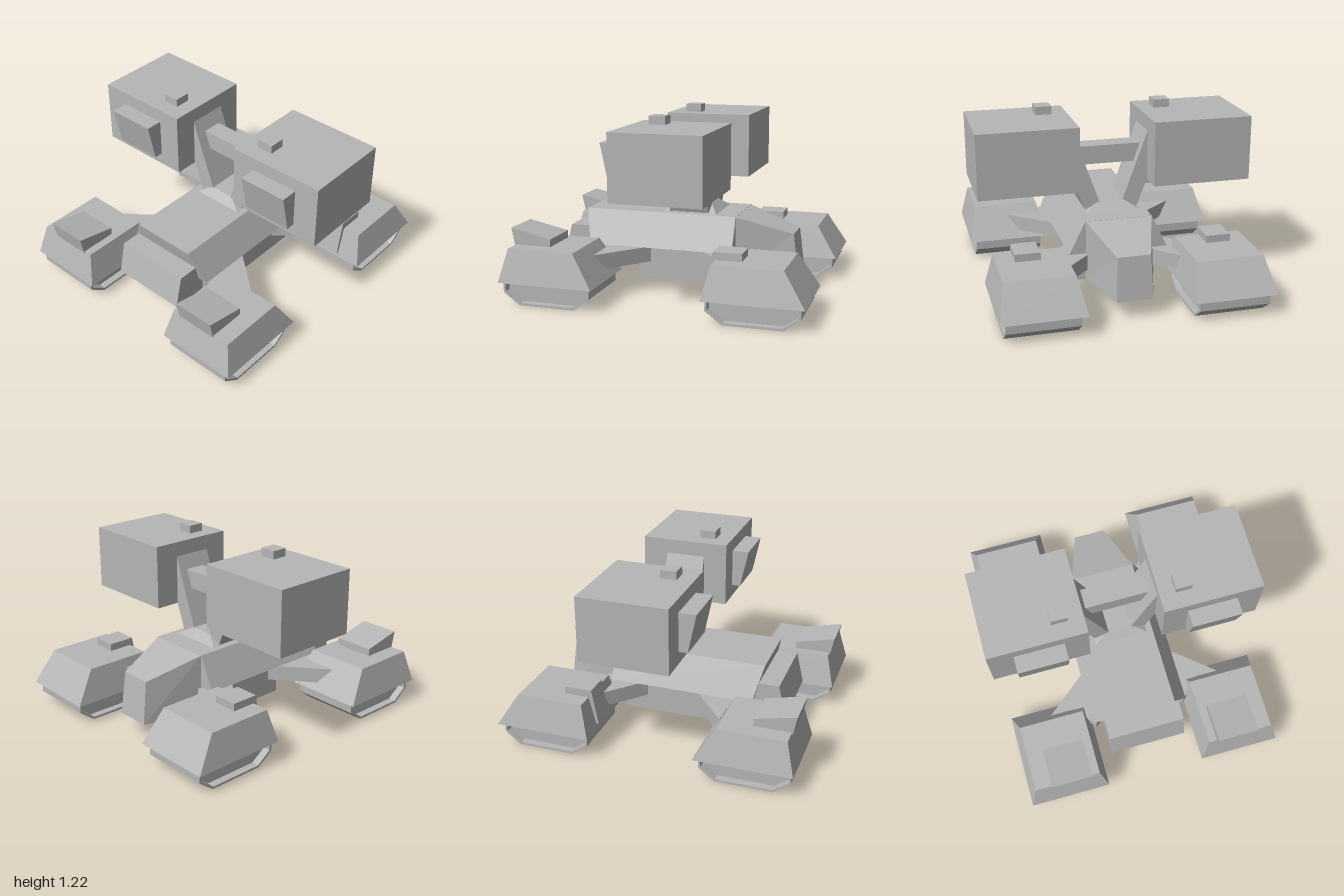
import * as THREE from 'three';

const hull = new THREE.MeshStandardMaterial({ color: 0xb6b6b6 });
hull.name = 'hullGrey';

function add(parent, name, geometry) {
  const flat = geometry.index ? geometry.toNonIndexed() : geometry;
  flat.computeVertexNormals();
  const mesh = new THREE.Mesh(flat, hull);
  mesh.name = name;
  parent.add(mesh);
  return mesh;
}

// Axis-aligned block between two corners
function block(x0, x1, y0, y1, z0, z1) {
  return new THREE.BoxGeometry(x1 - x0, y1 - y0, z1 - z0)
    .translate((x0 + x1) / 2, (y0 + y1) / 2, (z0 + z1) / 2);
}

// Block whose bottom and top are different rectangles [x0, x1, z0, z1]
function frustum(y0, bottom, y1, top) {
  const g = new THREE.BoxGeometry(1, 1, 1);
  const p = g.attributes.position;
  for (let i = 0; i < p.count; i++) {
    const r = p.getY(i) > 0 ? top : bottom;
    p.setXYZ(i, p.getX(i) > 0 ? r[1] : r[0], p.getY(i) > 0 ? y1 : y0, p.getZ(i) > 0 ? r[3] : r[2]);
  }
  return g;
}

const shapeOf = pts => new THREE.Shape(pts.map(([a, b]) => new THREE.Vector2(a, b)));

// Side profile of [z, y] points, swept across x
function sideSweep(pts, x0, x1, hole) {
  const s = shapeOf(pts);
  if (hole) s.holes.push(shapeOf(hole));
  return new THREE.ExtrudeGeometry(s, { depth: x1 - x0, bevelEnabled: false })
    .rotateY(-Math.PI / 2).translate(x1, 0, 0);
}

// Plan outline of [x, z] points, swept down in y
function planSweep(pts, y0, y1) {
  return new THREE.ExtrudeGeometry(shapeOf(pts), { depth: y1 - y0, bevelEnabled: false })
    .rotateX(Math.PI / 2).translate(0, y1, 0);
}

// Track pod: sloped hood above a chamfered track with recessed sides
function trackPod(parent, name, dz) {
  const pod = new THREE.Group();
  pod.name = name;
  pod.position.z = dz;
  parent.add(pod);
  add(pod, 'trackHood', frustum(0.15, [0.34, 0.89, 0.355, 1.0], 0.37, [0.39, 0.84, 0.495, 0.945]));
  const outer = [[0.385, 0.15], [0.385, 0.08], [0.49, 0], [0.87, 0], [0.98, 0.08], [0.98, 0.15]];
  const inner = [[0.4, 0.149], [0.4, 0.087], [0.495, 0.015], [0.865, 0.015], [0.965, 0.087], [0.965, 0.149]];
  add(pod, 'trackBelt', sideSweep(outer, 0.38, 0.85, inner));
  add(pod, 'trackCore', sideSweep(inner, 0.43, 0.8));
}

export function createModel() {
  const model = new THREE.Group();
  model.name = 'walkerTank';

  // Central hull
  add(model, 'upperHull', frustum(0.31, [-0.335, 0.335, -0.41, 0.585], 0.535, [-0.225, 0.225, -0.41, 0.64]));
  add(model, 'lowerHull', block(-0.27, 0.27, 0.09, 0.315, -0.33, 0.25));
  add(model, 'nose', sideSweep(
    [[0.42, 0.15], [0.76, 0.15], [0.8, 0.205], [0.75, 0.42], [0.42, 0.42]], -0.265, 0.265));

  // Tapering tail, built from a front and a back cross-section
  const tail = new THREE.BoxGeometry(1, 1, 1);
  const p = tail.attributes.position;
  for (let i = 0; i < p.count; i++) {
    const up = p.getY(i) > 0, front = p.getZ(i) > 0;
    const half = front ? 0.225 : up ? 0.11 : 0.12;
    p.setXYZ(i, Math.sign(p.getX(i)) * half,
      up ? (front ? 0.535 : 0.42) : 0.13,
      front ? -0.405 : up ? -0.78 : -0.815);
  }
  add(model, 'tail', tail);

  // Turret mount
  add(model, 'turretBase', frustum(0.53, [-0.19, 0.19, -0.27, 0.11], 0.59, [-0.09, 0.09, -0.21, 0.055]));
  add(model, 'crossBar', block(-0.215, 0.215, 0.84, 0.965, -0.15, -0.015));

  for (const side of [1, -1]) {
    const half = new THREE.Group();
    half.name = side > 0 ? 'leftSide' : 'rightSide';
    half.scale.x = side;
    model.add(half);

    // Slanted strut and launcher box
    const strut = shapeOf([[0.18, 0.54], [0.25, 0.725], [0.25, 1.06], [0.08, 0.59]]);
    add(half, 'strut', new THREE.ExtrudeGeometry(strut, { depth: 0.27, bevelEnabled: false })
      .translate(0, 0, -0.21));
    add(half, 'launcherBox', block(0.25, 0.915, 0.725, 1.16, -0.38, 0.22));
    add(half, 'launcherHatch', sideSweep(
      [[0.21, 0.81], [0.28, 0.81], [0.335, 1.07], [0.21, 1.07]], 0.41, 0.745));
    add(half, 'launcherSensor', block(0.355, 0.465, 1.155, 1.215, 0, 0.11));

    // Arms joining the pods to the hull
    add(half, 'frontArm', planSweep(
      [[0.2, 0.11], [0.61, 0.45], [0.45, 0.45], [0.32, 0.59], [0.2, 0.5]], 0.2, 0.305));
    add(half, 'rearArm', planSweep(
      [[0.2, -0.11], [0.2, -0.41], [0.37, -0.58], [0.5, -0.58], [0.55, -0.42]], 0.2, 0.305));

    // Track pods with their hatches
    trackPod(half, 'frontPod', 0);
    trackPod(half, 'rearPod', -1.355);
    add(half, 'frontPodHatch', sideSweep(
      [[0.7, 0.36], [0.95, 0.355], [0.975, 0.48], [0.7, 0.42]], 0.445, 0.725));
    add(half, 'rearPodHatch', sideSweep(
      [[-0.575, 0.36], [-0.42, 0.36], [-0.39, 0.18], [-0.345, 0.18], [-0.39, 0.42], [-0.575, 0.42]],
      0.555, 0.72));
  }
  return model;
}
